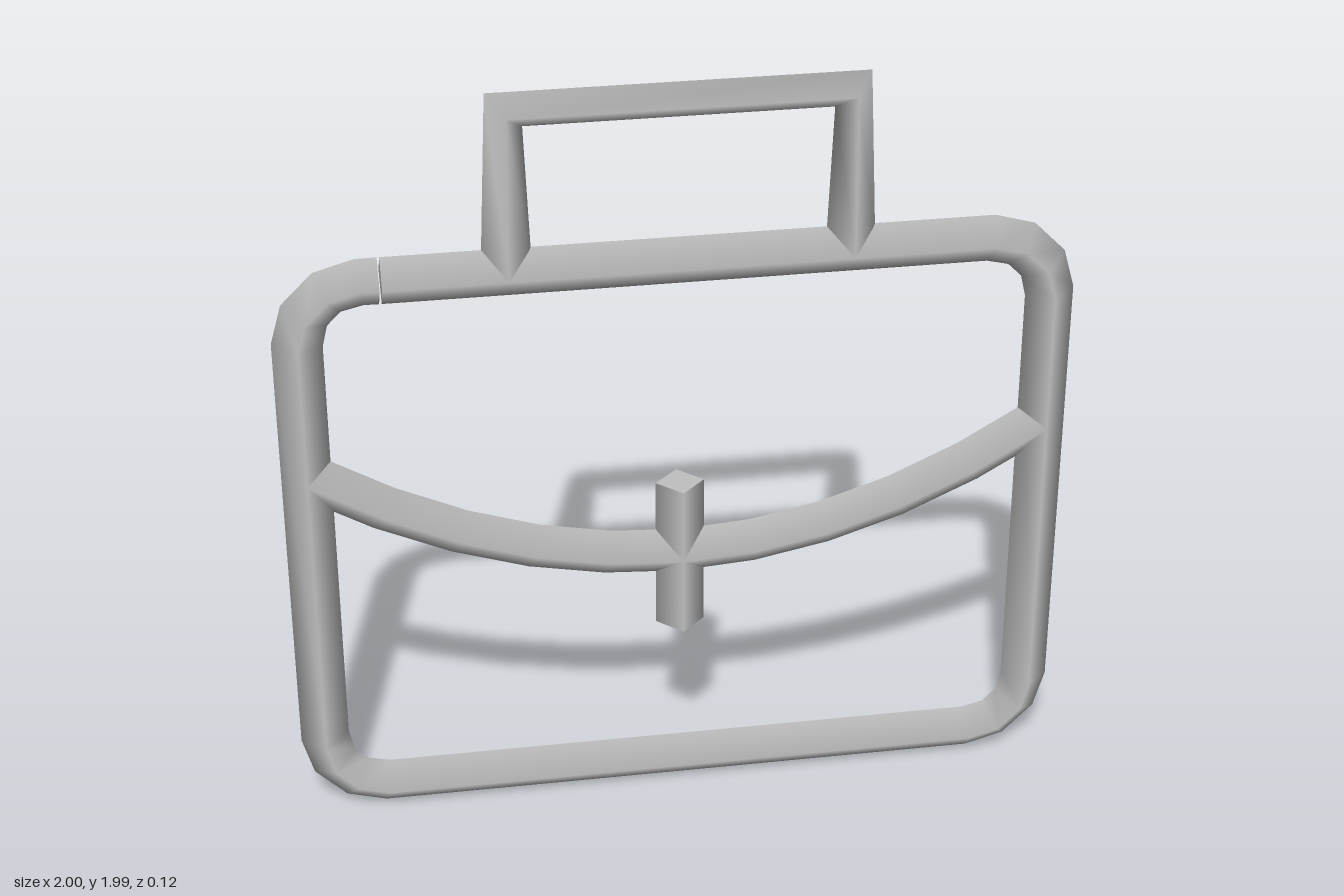
import * as THREE from 'three';

const R = 0.0625; // tube radius

// Sweep a four-sided diamond section along a path of [x, y] points, with capped ends.
function diamondTube(path) {
  const pts = path.map(([x, y]) => new THREE.Vector2(x, y));
  const pos = [], nor = [], idx = [];
  const dir = (i) => pts[i + 1].clone().sub(pts[i]).normalize();
  const last = pts.length - 1;
  const rings = pts.map((p, i) => {
    const t = new THREE.Vector2();
    if (i > 0) t.add(dir(i - 1));
    if (i < last) t.add(dir(i));
    t.normalize();
    const sides = [[-t.y, t.x, 0], [0, 0, 1], [t.y, -t.x, 0], [0, 0, -1]];
    const corners = sides.map((s) => [p.x + s[0] * R, p.y + s[1] * R, s[2] * R]);
    corners.forEach((c, k) => { pos.push(...c); nor.push(...sides[k]); });
    return { t, corners };
  });
  // Side walls
  for (let i = 0; i < last; i++) {
    for (let k = 0; k < 4; k++) {
      const a = i * 4 + k, b = i * 4 + (k + 1) % 4;
      idx.push(a, b, a + 4, b, b + 4, a + 4);
    }
  }
  // End caps
  for (const [ring, sign] of [[rings[0], -1], [rings[last], 1]]) {
    const s = pos.length / 3;
    ring.corners.forEach((c) => { pos.push(...c); nor.push(ring.t.x * sign, ring.t.y * sign, 0); });
    if (sign > 0) idx.push(s, s + 1, s + 2, s, s + 2, s + 3);
    else idx.push(s, s + 2, s + 1, s, s + 3, s + 2);
  }
  const g = new THREE.BufferGeometry();
  g.setAttribute('position', new THREE.Float32BufferAttribute(pos, 3));
  g.setAttribute('normal', new THREE.Float32BufferAttribute(nor, 3));
  g.setIndex(idx);
  return g;
}

export function createModel() {
  const group = new THREE.Group();
  const grey = new THREE.MeshStandardMaterial({ color: 0xc0c0c0, side: THREE.DoubleSide });
  grey.name = 'light grey';
  const add = (name, path) => {
    const mesh = new THREE.Mesh(diamondTube(path), grey);
    mesh.name = name;
    group.add(mesh);
  };

  // Rounded case outline, clockwise from a narrow seam at the top left
  const frame = [[-0.728, 1.5225]];
  const c = 0.1575;
  const corners = [[0.78, 1.365, 90], [0.78, 0.22, 0], [-0.78, 0.22, -90], [-0.78, 1.365, 180]];
  for (const [x, y, start] of corners) {
    for (let i = 0; i <= 3; i++) {
      const a = THREE.MathUtils.degToRad(start - i * 30);
      frame.push([x + Math.cos(a) * c, y + Math.sin(a) * c]);
    }
  }
  frame.push([-0.734, 1.5225]);
  add('caseFrame', frame);

  // Carrying handle
  add('handle', [[-0.424, 1.5225], [-0.42, 1.943], [0.42, 1.943], [0.424, 1.5225]]);

  // Curved lower edge of the flap
  const flap = [];
  for (let i = -5; i <= 5; i++) {
    const x = i * 0.1875;
    flap.push([x, 0.6965 + 0.347 * x * x]);
  }
  add('flapEdge', flap);

  // Upright clasp
  add('clasp', [[0, 0.485], [0, 0.9]]);

  return group;
}
